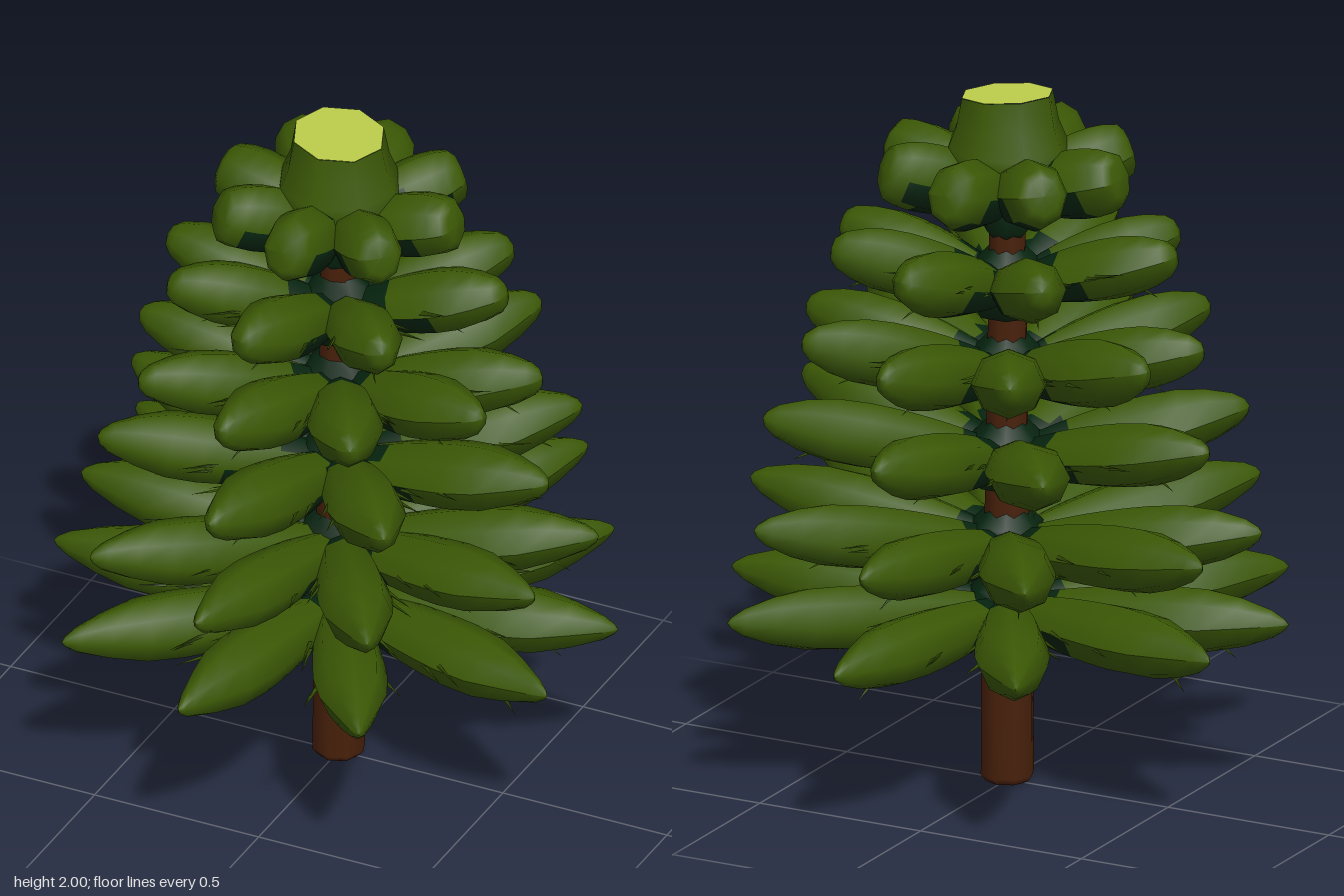
import * as THREE from 'three';
import { mergeGeometries } from 'three/addons/utils/BufferGeometryUtils.js';

const material = (name, color) => {
  const m = new THREE.MeshStandardMaterial({ color });
  m.name = name;
  return m;
};

// small seeded random in 0..1
let seed = 7;
const rand = () => (seed = (seed * 16807) % 2147483647) / 2147483647;
const vary = (amount) => 1 + (rand() - 0.5) * 2 * amount;

const SIDES = 8;
const rad = THREE.MathUtils.degToRad;
const lathe = (profile, sides, lift = 0) =>
  new THREE.LatheGeometry(profile.map(([r, y]) => new THREE.Vector2(r, y + lift)), sides);

// Pod-shaped bough pointing along +x: ragged dark root (material 0), longer underneath, and green blade (material 1)
function boughGeometry(length, height, width, blunt) {
  const profile = [[0, 0], [0.5, 0.02], [0.62, 0.08], [0.71, 0.15], [0.79, 0.22], [0.86, 0.29], [0.92, 0.37],
    [0.97, 0.46], [1, 0.56], [0.96 + 0.04 * blunt, 0.7], [0.74 + 0.22 * blunt, 0.83], [0.4 + 0.46 * blunt, 0.94],
    [0.15 + 0.47 * blunt, 0.985], [0, 1]];
  const geo = lathe(profile, SIDES);

  // narrow the tip sideways so it is pointed from above
  const p = geo.attributes.position;
  for (let i = 0; i < p.count; i++) {
    p.setZ(i, p.getZ(i) * (1 - 0.4 * (1 - blunt) * THREE.MathUtils.smoothstep(p.getY(i), 0.6, 1)));
  }
  geo.computeVertexNormals();
  geo.scale(height, length, width);
  geo.rotateZ(-Math.PI / 2);

  const perSide = geo.index.count / SIDES;
  const perRing = perSide / (profile.length - 1);
  for (let i = 0; i < SIDES; i++) {
    const up = -Math.sin(((i + 0.5) / SIDES) * Math.PI * 2);
    const limit = (up > 0 ? 0.09 : 0.23) + 0.07 * rand();
    const cut = perRing * profile.filter(([, t]) => t > 0 && t * length < limit).length;
    geo.addGroup(i * perSide, cut, 0);
    geo.addGroup(i * perSide + cut, perSide - cut, 1);
  }
  return geo;
}

// Thin needle starting at a point on the bough and leaning outward
function needleGeometry(start, direction, length) {
  const geo = new THREE.ConeGeometry(0.007, length, 3);
  geo.translate(0, length / 2, 0);
  const dir = new THREE.Vector3(...direction).normalize();
  geo.applyQuaternion(new THREE.Quaternion().setFromUnitVectors(new THREE.Vector3(0, 1, 0), dir));
  return geo.translate(...start);
}

export function createModel() {
  const model = new THREE.Group();
  model.name = 'pineTree';
  const bark = material('bark brown', 0x48200a);
  const green = material('foliage green', 0x3b5805);
  const dark = material('inner foliage dark green', 0x06240f);
  const pale = material('crown tip pale green', 0xbccd4a);

  const add = (parent, name, geo, mat) => {
    const mesh = new THREE.Mesh(geo, mat);
    mesh.name = name;
    parent.add(mesh);
    return mesh;
  };

  // Trunk: slightly bevelled foot, gentle taper
  const trunk = [[0, 0.003], [0.062, 0.006], [0.076, 0.025], [0.074, 0.4], [0.06, 1.0], [0.05, 1.75]];
  add(model, 'trunk', lathe(trunk, 8), bark);

  // Tiers of boughs from the ground up; each listed bough has a twin on the opposite side
  const five = (offset) => [-83, -47, -9.5, 19, 60].map((a) => a + offset);
  const tiers = [
    { base: 0.495, tip: 0.535, reach: 0.805, height: 0.09, width: 0.105, blunt: 0.05, angles: five(0) },
    { base: 0.68, tip: 0.795, reach: 0.755, height: 0.09, width: 0.105, blunt: 0.12, angles: five(-2) },
    { base: 0.93, tip: 1.065, reach: 0.675, height: 0.094, width: 0.11, blunt: 0.2, angles: [4, 53, 96, 147] },
    { base: 1.175, tip: 1.315, reach: 0.6, height: 0.094, width: 0.1, blunt: 0.3, angles: five(1) },
    { base: 1.425, tip: 1.56, reach: 0.51, height: 0.09, width: 0.1, blunt: 0.45, angles: [-8, 50, 98, 142] },
    { base: 1.7, tip: 1.79, reach: 0.37, height: 0.097, width: 0.09, blunt: 0.85, angles: [0, 45, 90, 135] },
  ];

  tiers.forEach((t, n) => {
    const isCrown = n === tiers.length - 1;
    const tier = new THREE.Group();
    tier.name = `tier${n + 1}`;
    model.add(tier);

    // Dark heart of the tier, around the trunk
    const heart = isCrown
      ? [[0.05, -0.12], [0.068, -0.1], [0.085, 0], [0.05, 0.05]]
      : [[0.055, -0.08], [0.09, -0.07], [0.13, 0], [0.1, 0.07], [0.05, 0.12]];
    add(tier, 'tierHeart', lathe(heart, 7, t.base), dark);

    const start = 0.04;
    const length = t.reach - start;
    [...t.angles, ...t.angles.map((a) => a + 180)].forEach((angle) => {
      const bough = new THREE.Group();
      bough.name = 'bough';
      bough.position.y = t.base;
      bough.rotation.set(0, -rad(angle), Math.atan2(t.tip - t.base, length) + (rand() - 0.5) * 0.03);
      const len = length * vary(0.025);
      const pod = boughGeometry(len, t.height * vary(0.04), t.width * vary(0.05), t.blunt);
      add(bough, 'boughPod', pod, [dark, green]).position.x = start;

      // Stray needles along both flanks, and one below
      if (!isCrown) {
        const needles = [-1, 1, -1, 1].map((side) => needleGeometry(
          [start + len * (0.3 + 0.3 * rand()), (rand() - 0.5) * 0.03, side * t.width * 0.85],
          [1, 0, side * 0.4], 0.1 + 0.05 * rand()));
        needles.push(needleGeometry([start + len * (0.5 + 0.3 * rand()), -t.height * 0.7, 0], [0.8, -0.6, 0.1], 0.07));
        add(bough, 'needles', mergeGeometries(needles), green);
      }
      tier.add(bough);
    });
  });

  // Crown: flared collar rising to a slanting cut top
  const RIM = 0.13;
  const slant = (geo) => {
    const p = geo.attributes.position;
    for (let i = 0; i < p.count; i++) {
      if (p.getY(i) > 1.95) p.setY(i, p.getY(i) - 0.08 * p.getX(i) - 0.06 * p.getZ(i));
    }
    return geo;
  };
  const collar = [[0.06, 1.69], [0.15, 1.73], [0.18, 1.79], [0.172, 1.84], [0.147, 1.9], [RIM, 1.985]];
  add(model, 'crownCollar', slant(lathe(collar, 8)), green);
  const top = new THREE.CircleGeometry(RIM, 8);
  top.rotateX(-Math.PI / 2).translate(0, 1.986, 0);
  add(model, 'crownTop', slant(top), pale);

  return model;
}
